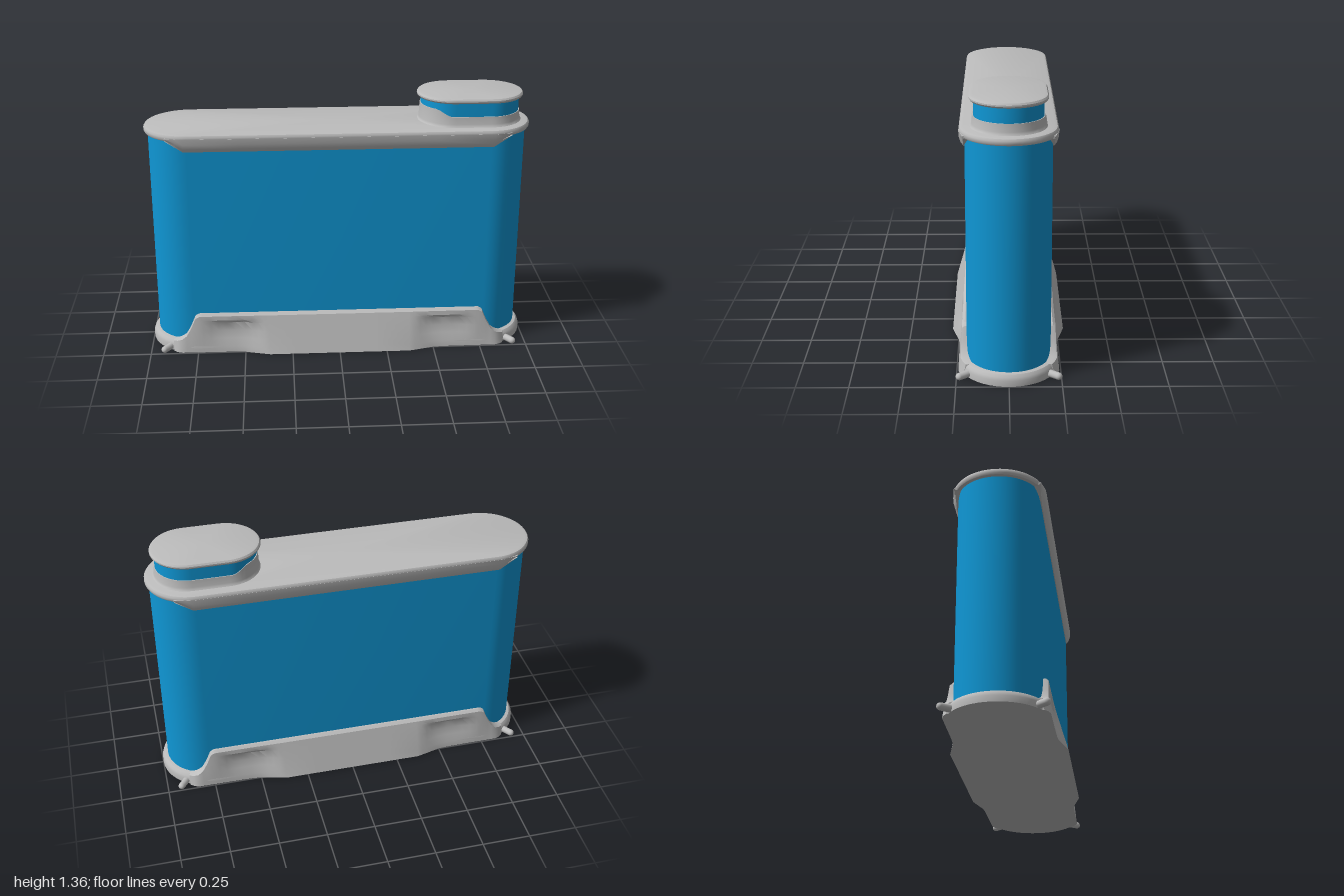
import * as THREE from 'three';
import { toCreasedNormals } from 'three/addons/utils/BufferGeometryUtils.js';

const shellGrey = new THREE.MeshStandardMaterial({ color: 0xbcbcbc });
shellGrey.name = 'shell grey';
const tankBlue = new THREE.MeshStandardMaterial({ color: 0x0f97d5 });
tankBlue.name = 'tank blue';

// Skin a row of equal closed rings and close both ends
function loft(name, rings, material, crease = 0.6) {
  const n = rings[0].length, pos = [], idx = [];
  rings.forEach(r => r.forEach(p => pos.push(...p)));
  for (let i = 0; i < rings.length - 1; i++) {
    for (let j = 0; j < n; j++) {
      const a = i * n + j, b = i * n + (j + 1) % n;
      idx.push(a, b, b + n, a, b + n, a + n);
    }
  }
  [0, rings.length - 1].forEach((r, end) => {
    const c = pos.length / 3;
    pos.push(...[0, 1, 2].map(k => rings[r].reduce((s, p) => s + p[k], 0) / n));
    for (let j = 0; j < n; j++) {
      const a = r * n + j, b = r * n + (j + 1) % n;
      if (end) idx.push(c, a, b); else idx.push(c, b, a);
    }
  });
  const g = new THREE.BufferGeometry();
  g.setAttribute('position', new THREE.Float32BufferAttribute(pos, 3));
  g.setIndex(idx);
  const mesh = new THREE.Mesh(toCreasedNormals(g, crease), material);
  mesh.name = name;
  return mesh;
}

// Horizontal ring with straight sides and round ends; y may depend on x
function stadium(halfLength, r, y, cx = 0) {
  const ring = [], steps = 24;
  for (const side of [1, -1]) {
    for (let i = 0; i <= steps; i++) {
      const a = -Math.PI / 2 + Math.PI * i / steps;
      const x = cx + side * (halfLength - r + r * Math.cos(a));
      ring.push([x, typeof y === 'function' ? y(x) : y, -side * r * Math.sin(a)]);
    }
  }
  return ring;
}

// Piecewise linear lookup in [input, output] pairs
function lookup(table, v) {
  for (let i = 1; i < table.length; i++) {
    const [a, p] = table[i - 1], [b, q] = table[i];
    if (v <= b) return p + (q - p) * Math.max(0, (v - a) / (b - a));
  }
  return table[table.length - 1][1];
}

// Mirror a list of positive stations to both sides
const bothSides = xs => [...xs.slice().reverse().map(x => -x), ...xs];

// Lower side panel: flared grip in the middle with a shallow scoop beside it
function basePanel() {
  const top = [[0.74, 0.212], [0.76, 0.2], [0.785, 0.14], [0.81, 0.095], [0.835, 0.075], [0.87, 0.058]];
  const foot = [[0.37, 0.285], [0.44, 0.267], [0.5, 0.25], [0.56, 0.245], [0.85, 0.243], [0.88, 0.218]];
  const lip = [[0.76, 0.225], [0.84, 0.232], [0.88, 0.205]];
  const scoop = [[0.4, 0], [0.46, 0.012], [0.55, 0.016], [0.64, 0.014], [0.72, 0]];
  const xs = [0.2, 0.37, 0.4, 0.43, 0.46, 0.5, 0.55, 0.6, 0.64, 0.68, 0.72, 0.74, 0.76, 0.785, 0.81, 0.835, 0.86, 0.88];
  const rings = bothSides(xs).map(x => {
    const u = Math.abs(x), h = lookup(top, u), zb = lookup(foot, u), zt = lookup(lip, u), s = lookup(scoop, u);
    const at = (t, cut) => [x, h * t, zb + (zt - zb) * t - cut];
    return [[x, h, 0.15], [x, h, zt - 0.012], at(0.95, 0), at(0.84, 0), at(0.76, s * 0.8),
      at(0.55, s), at(0.35, s * 0.7), at(0.15, 0), [x, 0, zb], [x, 0, 0.15]];
  });
  return loft('basePanel', rings, shellGrey);
}

// Skirt hanging from the cover along each long side
function coverSkirt() {
  const rings = bothSides([0.5, 0.78, 0.82, 0.87]).map(x => {
    const y = lookup([[0.78, 1.112], [0.87, 1.172]], Math.abs(x));
    const z = lookup([[0.78, 0.23], [0.87, 0.212]], Math.abs(x));
    const d = 1.185 - y;
    return [[x, 1.185, 0.15], [x, 1.185, z], [x, y + d * 0.6, z - 0.002],
      [x, y + d * 0.25, z - 0.01], [x, y, 0.208], [x, y, 0.15]];
  });
  return loft('coverSkirt', rings, shellGrey);
}

// Small rounded foot pointing out at a corner of the base
function cornerNub(sx, sz) {
  const geo = new THREE.CapsuleGeometry(0.018, 0.12, 6, 14);
  geo.rotateZ(-Math.PI / 2);
  const nub = new THREE.Mesh(geo, shellGrey);
  nub.name = 'cornerNub';
  nub.rotation.y = -Math.atan2(sz * 0.8, sx * 0.6);
  nub.position.set(sx * 0.892, 0.018, sz * 0.187);
  return nub;
}

export function createModel() {
  const model = new THREE.Group();
  model.name = 'tank';

  // Blue tank
  model.add(loft('tankBody', [stadium(0.97, 0.203, 0.04), stadium(0.97, 0.203, 1.18)], tankBlue));

  // Base
  model.add(loft('base', [
    stadium(1, 0.242, 0), stadium(1, 0.242, 0.03), stadium(0.995, 0.237, 0.045),
    stadium(0.985, 0.227, 0.057), stadium(0.965, 0.207, 0.062),
  ], shellGrey));

  // Cover
  model.add(loft('cover', [
    stadium(0.97, 0.207, 1.168), stadium(0.985, 0.224, 1.17), stadium(0.99, 0.229, 1.178),
    stadium(0.99, 0.229, 1.192), stadium(0.984, 0.223, 1.201), stadium(0.97, 0.21, 1.205),
  ], shellGrey));

  // Side panels and skirts, front and back
  for (const turn of [0, Math.PI]) {
    const side = new THREE.Group();
    side.name = turn ? 'backSide' : 'frontSide';
    side.add(basePanel(), coverSkirt());
    side.rotation.y = turn;
    model.add(side);
  }
  for (const sx of [1, -1]) for (const sz of [1, -1]) model.add(cornerNub(sx, sz));

  // Filler neck: collar rising towards the middle of the tank, blue band and lid
  const cx = 0.68;
  const collarTop = x => lookup([[0.5, 1.292], [0.56, 1.257]], x);
  model.add(loft('neckCollar', [
    stadium(0.272, 0.182, 1.2, cx), stadium(0.263, 0.174, 1.209, cx), stadium(0.26, 0.17, 1.22, cx),
    stadium(0.256, 0.166, collarTop, cx), stadium(0.24, 0.15, collarTop, cx),
  ], shellGrey));
  model.add(loft('neckBand', [stadium(0.252, 0.162, 1.21, cx), stadium(0.252, 0.162, 1.335, cx)], tankBlue));
  model.add(loft('lid', [
    stadium(0.253, 0.163, 1.326, cx), stadium(0.266, 0.176, 1.329, cx), stadium(0.272, 0.182, 1.337, cx),
    stadium(0.272, 0.182, 1.344, cx), stadium(0.266, 0.176, 1.352, cx), stadium(0.253, 0.163, 1.355, cx),
  ], shellGrey));

  return model;
}
